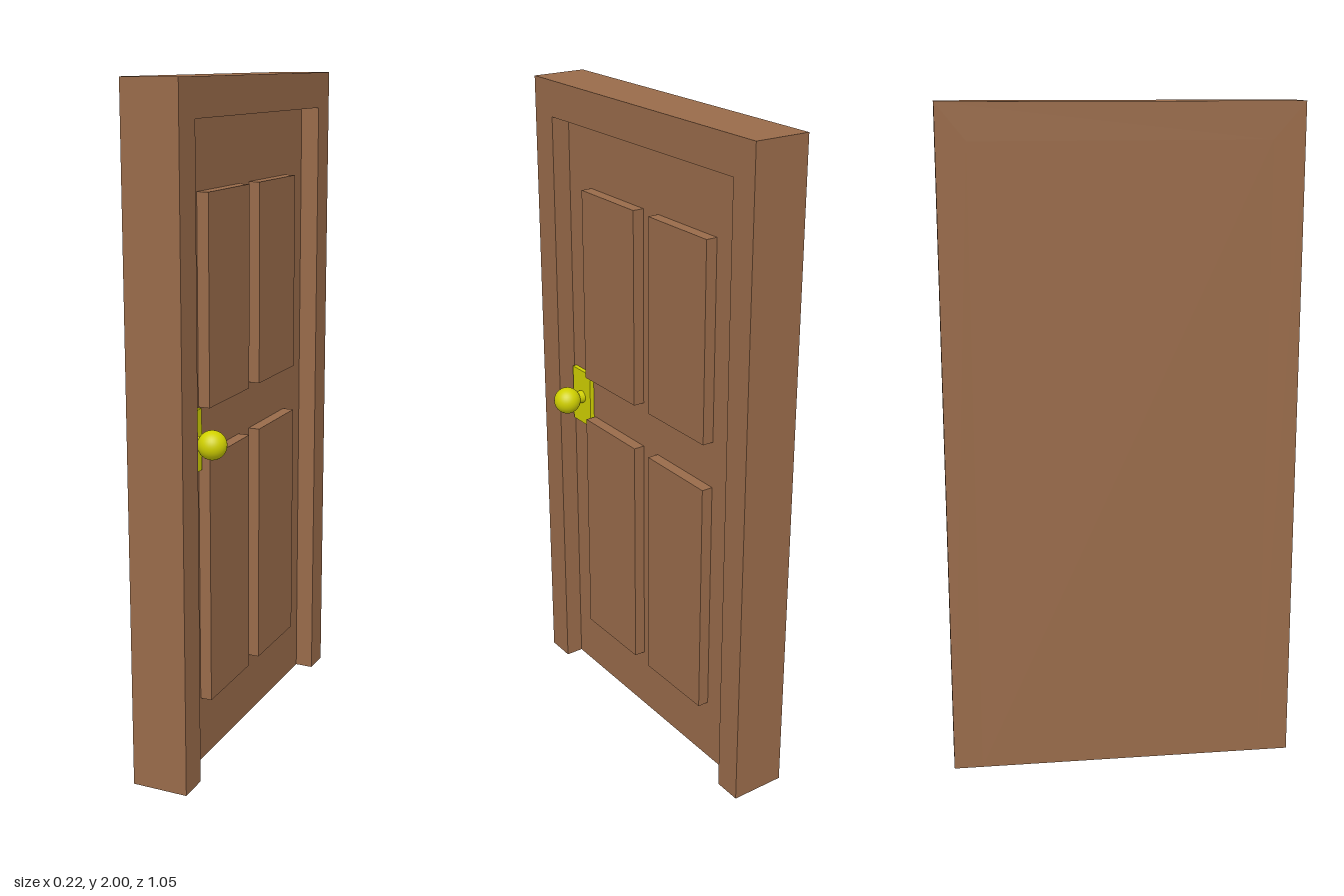
import * as THREE from 'three';

const wood = new THREE.MeshStandardMaterial({ color: 0x996b4a });
const brass = new THREE.MeshStandardMaterial({ color: 0xd0d000 });

const BACK = -0.113, FRONT = 0.057, LEAF = 0.0; // x of back, frame face and door leaf face

function add(parent, name, geometry, material) {
  const mesh = new THREE.Mesh(geometry, material);
  mesh.name = name;
  parent.add(mesh);
  return mesh;
}

// Box given by its limits on each axis
function block(parent, name, material, [x0, x1], [y0, y1], [z0, z1]) {
  const mesh = add(parent, name, new THREE.BoxGeometry(x1 - x0, y1 - y0, z1 - z0), material);
  mesh.position.set((x0 + x1) / 2, (y0 + y1) / 2, (z0 + z1) / 2);
}

export function createModel() {
  const door = new THREE.Group();
  door.name = 'door';

  // Frame: two jambs and a head in one outline, open at the bottom
  const outline = new THREE.Shape([
    [-0.523, 0], [-0.43, 0], [-0.43, 1.893], [0.437, 1.893],
    [0.437, 0], [0.523, 0], [0.523, 2], [-0.523, 2],
  ].map(([u, v]) => new THREE.Vector2(u, v)));
  const frame = add(door, 'frame',
    new THREE.ExtrudeGeometry(outline, { depth: FRONT - BACK, bevelEnabled: false }), wood);
  frame.rotation.y = Math.PI / 2;
  frame.position.x = BACK;

  // Door leaf, set back inside the frame
  block(door, 'leaf', wood, [BACK, LEAF], [0, 1.893], [-0.437, 0.43]);

  // Four raised panels
  for (const y of [[0.2, 0.948], [1.092, 1.694]])
    for (const z of [[-0.303, -0.033], [0.04, 0.31]])
      block(door, 'panel', wood, [LEAF - 0.01, LEAF + 0.035], y, z);

  // Lock plate, stem and round knob
  const handle = new THREE.Group();
  handle.name = 'handle';
  door.add(handle);
  block(handle, 'lockPlate', brass, [LEAF - 0.01, LEAF + 0.014], [0.912, 1.092], [0.318, 0.417]);
  const stem = add(handle, 'knobStem', new THREE.CylinderGeometry(0.02, 0.02, 0.06, 24), brass);
  stem.rotation.z = Math.PI / 2;
  stem.position.set(0.035, 1.003, 0.366);
  const knob = add(handle, 'knob', new THREE.SphereGeometry(0.042, 32, 20), brass);
  knob.position.set(0.07, 1.003, 0.366);

  return door;
}
